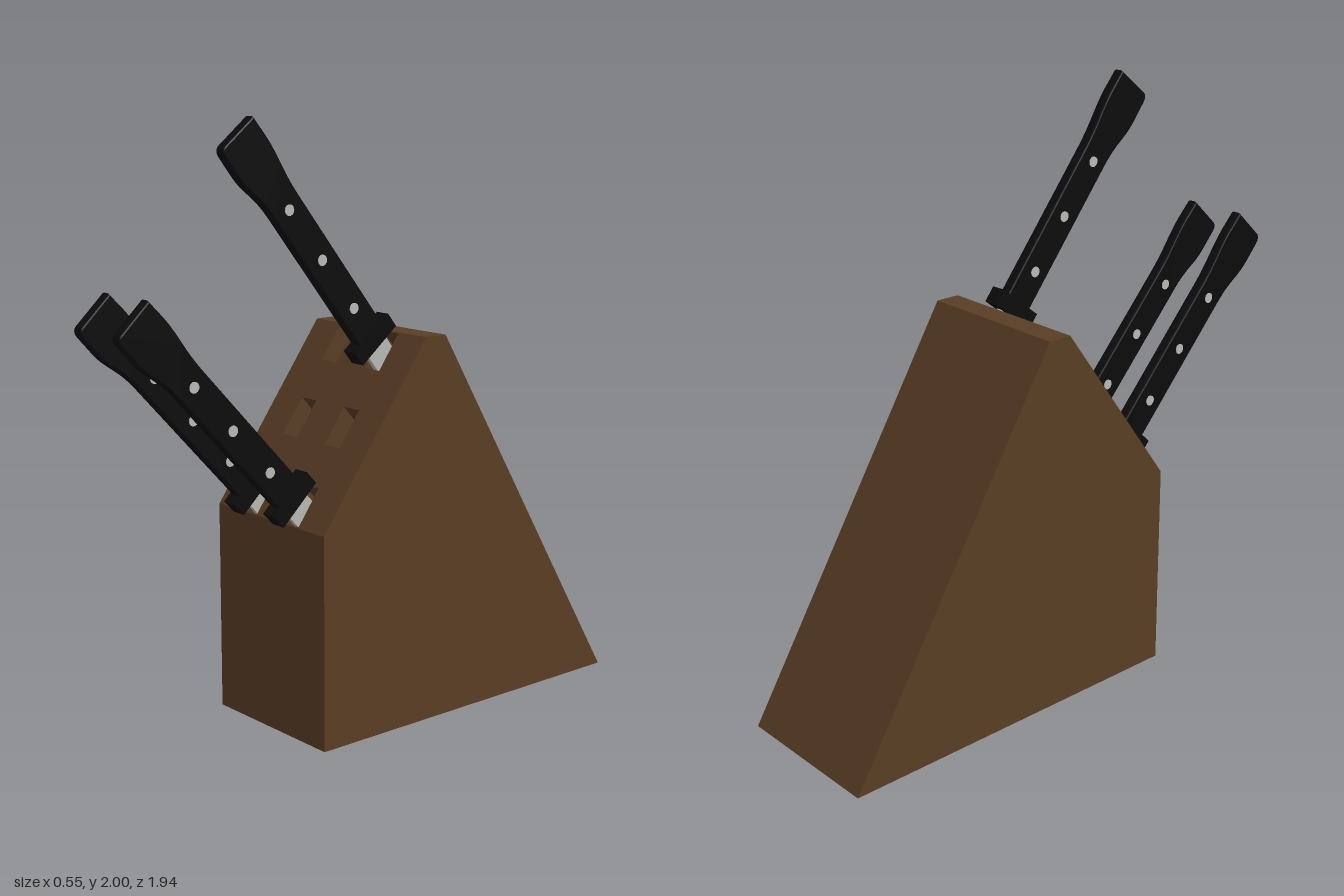
import * as THREE from 'three';

const wood = new THREE.MeshStandardMaterial({ color: 0x5a3e25 });
wood.name = 'brown wood';
const black = new THREE.MeshStandardMaterial({ color: 0x0c0c0c });
black.name = 'black handle';
const steel = new THREE.MeshStandardMaterial({ color: 0xb9b9b4 });
steel.name = 'steel';

const HALF = 0.275; // half the block width
// side profile of the block as [z, y]
const PROFILE = [[0.325, 0], [0.325, 0.71], [-0.1, 1.295], [-0.185, 1.295], [-0.975, 0]];
const SLOPE_LENGTH = Math.hypot(0.425, 0.585);
const SLOPE_ANGLE = -Math.atan2(0.425, 0.585);

function addMesh(parent, name, geometry, material) {
  const mesh = new THREE.Mesh(geometry, material);
  mesh.name = name;
  parent.add(mesh);
  return mesh;
}

// flat four-cornered faces, corners counterclockwise from the outside
function quads(list) {
  const positions = [];
  for (const q of list) {
    for (const i of [0, 1, 2, 0, 2, 3]) positions.push(...q[i]);
  }
  const geometry = new THREE.BufferGeometry();
  geometry.setAttribute('position', new THREE.Float32BufferAttribute(positions, 3));
  geometry.computeVertexNormals();
  return geometry;
}

function createBlock() {
  const block = new THREE.Group();
  block.name = 'knifeBlock';

  // flat sides
  const side = new THREE.Shape(PROFILE.map(([z, y]) => new THREE.Vector2(-z, y)));
  for (const s of [-1, 1]) {
    const geometry = new THREE.ShapeGeometry(s > 0 ? side
      : new THREE.Shape(PROFILE.map(([z, y]) => new THREE.Vector2(z, y))));
    geometry.rotateY(s * Math.PI / 2);
    geometry.translate(s * HALF, 0, 0);
    addMesh(block, s > 0 ? 'leftSide' : 'rightSide', geometry, wood);
  }

  // front, top, back and base; the slope is made separately
  const faces = [];
  PROFILE.forEach(([z0, y0], i) => {
    if (i === 1) return;
    const [z1, y1] = PROFILE[(i + 1) % PROFILE.length];
    faces.push([[-HALF, y0, z0], [HALF, y0, z0], [HALF, y1, z1], [-HALF, y1, z1]]);
  });
  addMesh(block, 'blockFaces', quads(faces), wood);

  // slope with two columns of three slots, slanted down into the block
  const slope = new THREE.Group();
  slope.name = 'slottedSlope';
  slope.position.set(0, 0.71, 0.325);
  slope.rotation.x = SLOPE_ANGLE;
  block.add(slope);
  const face = new THREE.Shape([
    new THREE.Vector2(-HALF, 0), new THREE.Vector2(HALF, 0),
    new THREE.Vector2(HALF, SLOPE_LENGTH), new THREE.Vector2(-HALF, SLOPE_LENGTH)]);
  const walls = [];
  for (const x of [-0.108, 0.108]) {
    for (const s of [0.075, 0.362, 0.648]) {
      const corners = [[-1, -1], [1, -1], [1, 1], [-1, 1]]
        .map(([a, b]) => [x + a * 0.037, s + b * 0.07, 0]);
      const deep = corners.map(([cx, cy]) => [cx, cy - 0.08, -0.34]);
      corners.forEach((c, i) => {
        const j = (i + 1) % 4;
        walls.push([c, corners[j], deep[j], deep[i]]);
      });
      walls.push(deep);
      face.holes.push(new THREE.Path(corners.map(([cx, cy]) => new THREE.Vector2(cx, cy))));
    }
  }
  addMesh(slope, 'slopeFace', new THREE.ShapeGeometry(face), wood);
  addMesh(slope, 'slotWalls', quads(walls), wood);
  return block;
}

// knife standing along y, flat in x, with the belly of its grip towards +z
function createKnife() {
  const knife = new THREE.Group();

  // grip with a flared butt
  const outline = new THREE.Shape();
  outline.moveTo(-0.053, 0.04);
  outline.lineTo(0.053, 0.04);
  outline.lineTo(0.053, 0.6);
  outline.bezierCurveTo(0.053, 0.7, 0.078, 0.72, 0.078, 0.79);
  outline.lineTo(0.077, 0.865);
  outline.quadraticCurveTo(0.076, 0.888, 0.06, 0.889);
  outline.lineTo(-0.068, 0.889);
  outline.lineTo(-0.07, 0.82);
  outline.bezierCurveTo(-0.07, 0.74, -0.053, 0.7, -0.053, 0.6);
  outline.closePath();
  const grip = new THREE.ExtrudeGeometry(outline, {
    depth: 0.024, bevelThickness: 0.008, bevelSize: 0.006, bevelSegments: 2, curveSegments: 8,
  });
  grip.translate(0, 0, -0.012);
  grip.rotateY(-Math.PI / 2);
  addMesh(knife, 'grip', grip, black);

  // bolster
  const bolster = new THREE.BoxGeometry(0.056, 0.056, 0.182);
  bolster.translate(0, 0.028, 0);
  addMesh(knife, 'bolster', bolster, black);

  // rivets through the grip
  for (const y of [0.168, 0.378, 0.588]) {
    const rivet = new THREE.CylinderGeometry(0.018, 0.018, 0.045, 12);
    rivet.rotateZ(Math.PI / 2);
    rivet.translate(0, y, 0);
    addMesh(knife, 'rivet', rivet, steel);
  }

  // blade running into the slot
  const blade = new THREE.BoxGeometry(0.018, 0.27, 0.095);
  blade.translate(0, -0.13, 0);
  addMesh(knife, 'blade', blade, steel);
  return knife;
}

export function createModel() {
  const model = new THREE.Group();
  model.name = 'knifeBlockSet';
  model.add(createBlock());

  // name, x, y, z, lean forward, lean sideways
  const knives = [
    ['upperKnife', 0.094, 1.256, -0.037, 0.682, -0.015],
    ['lowerLeftKnife', 0.097, 0.779, 0.3, 0.756, -0.02],
    ['lowerRightKnife', -0.111, 0.779, 0.3, 0.756, -0.02],
  ];
  for (const [name, x, y, z, forward, sideways] of knives) {
    const knife = createKnife();
    knife.name = name;
    knife.position.set(x, y, z);
    knife.rotation.set(forward, 0, sideways);
    model.add(knife);
  }
  return model;
}
